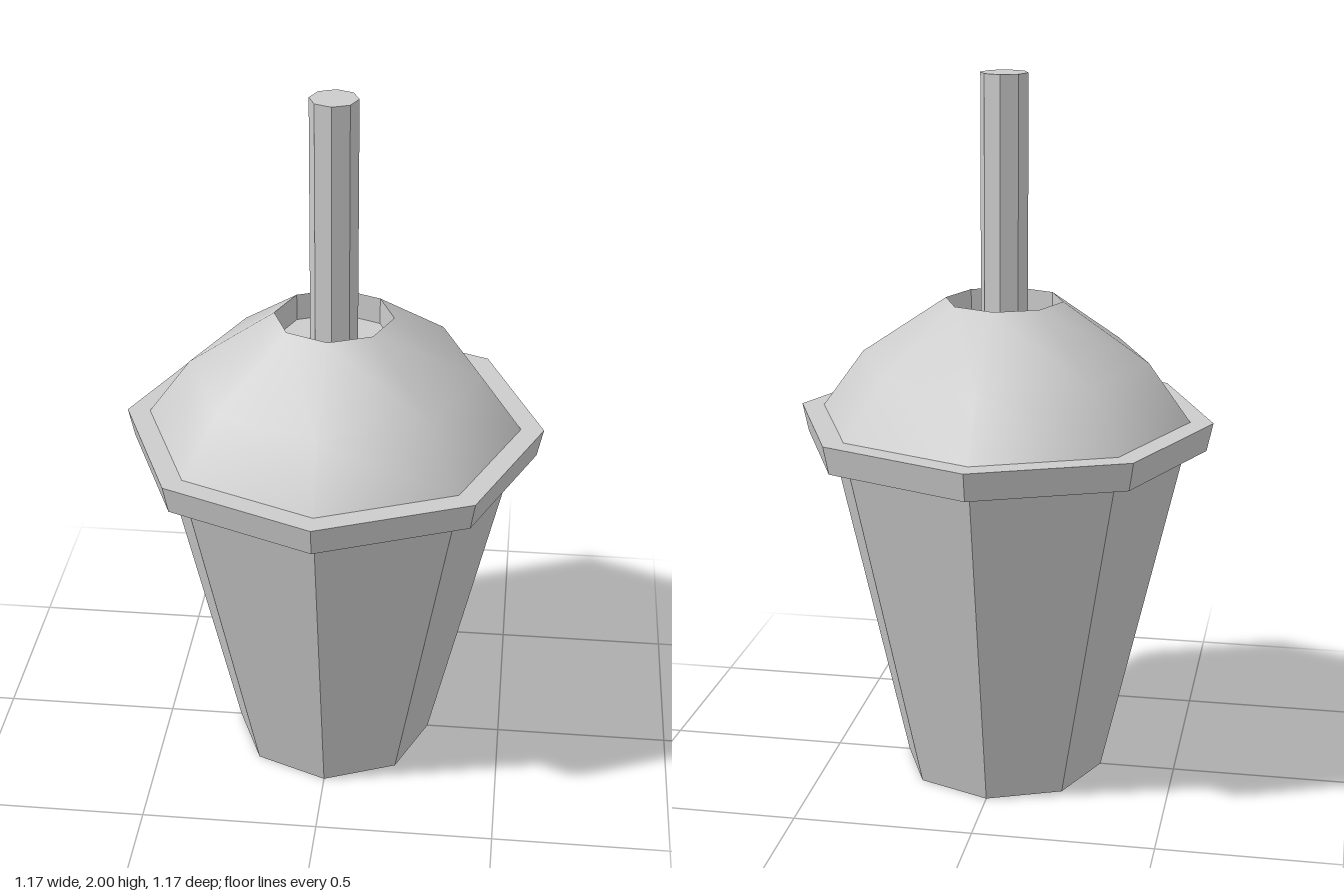
import * as THREE from 'three';

const SIDES = 8;

export function createModel() {
  const group = new THREE.Group();
  const flat = new THREE.MeshStandardMaterial({ color: 0xcccccc, flatShading: true });
  const smooth = new THREE.MeshStandardMaterial({ color: 0xcccccc });

  const add = (name, geometry, material) => {
    const mesh = new THREE.Mesh(geometry, material);
    mesh.name = name;
    group.add(mesh);
  };
  // Tapered octagonal solid standing between two heights
  const prism = (rBottom, rTop, y0, y1) =>
    new THREE.CylinderGeometry(rTop, rBottom, y1 - y0, SIDES).translate(0, (y0 + y1) / 2, 0);
  const lathe = (points) =>
    new THREE.LatheGeometry(points.map(([r, y]) => new THREE.Vector2(r, y)), SIDES);

  add('cup', prism(0.286, 0.51, 0, 0.97), flat);
  add('lidRim', prism(0.57, 0.587, 0.97, 1.05), flat);

  // Smooth domed lid with an open top
  add('lidDome', lathe([[0.523, 1.05], [0.405, 1.213], [0.165, 1.377]]), smooth);

  // Recessed well around the straw: wall, then floor
  add('strawWell', lathe([[0.165, 1.377], [0.165, 1.3], [0, 1.3]]), flat);

  add('straw', prism(0.066, 0.066, 1.3, 2), flat);
  return group;
}
